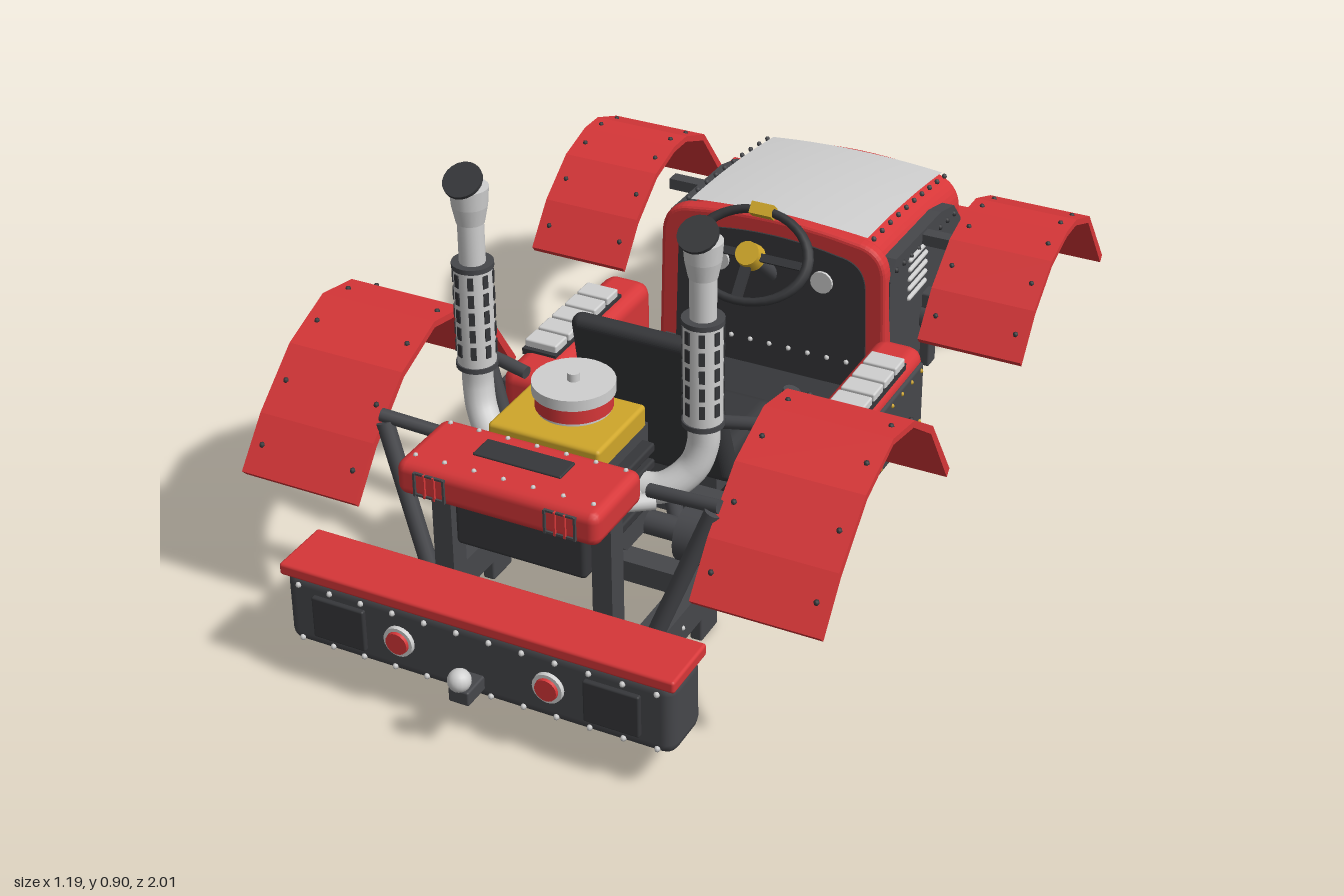
import * as THREE from 'three';
import { mergeGeometries } from 'three/addons/utils/BufferGeometryUtils.js';
import { RoundedBoxGeometry } from 'three/addons/geometries/RoundedBoxGeometry.js';

const paint = (name, color, side = THREE.FrontSide) => {
  const m = new THREE.MeshStandardMaterial({ color, side });
  m.name = name;
  return m;
};

export function createModel() {
  const red = paint('red paint', 0xd63638), dark = paint('dark steel', 0x46474b);
  const black = paint('black rubber', 0x36373a), silver = paint('silver', 0xd0d0d0, THREE.DoubleSide);
  const yellow = paint('yellow', 0xcfa62a);
  const model = new THREE.Group();
  model.name = 'tractor';
  const V = (x, y, z) => new THREE.Vector3(x, y, z);
  const add = (name, geo, mat, x = 0, y = 0, z = 0) => {
    const m = new THREE.Mesh(geo, mat);
    m.name = name;
    m.position.set(x, y, z);
    model.add(m);
    return m;
  };
  // box given by its limits, optionally rounded
  const box = (name, mat, x0, x1, y0, y1, z0, z1, r = 0) => {
    const s = [Math.abs(x1 - x0), y1 - y0, z1 - z0];
    return add(name, r ? new RoundedBoxGeometry(...s, 2, r) : new THREE.BoxGeometry(...s),
      mat, (x0 + x1) / 2, (y0 + y1) / 2, (z0 + z1) / 2);
  };
  // straight cylinder between two points
  const rod = (name, mat, a, b, r, r2 = r, n = 16) => {
    const d = b.clone().sub(a);
    const m = add(name, new THREE.CylinderGeometry(r2, r, d.length(), n), mat);
    m.position.copy(a).add(b).multiplyScalar(0.5);
    m.quaternion.setFromUnitVectors(V(0, 1, 0), d.normalize());
    return m;
  };
  // side outline in (z, y), extruded between two x values
  const plate = (name, mat, pts, xa, xb) => {
    const shape = new THREE.Shape(pts.map(p => new THREE.Vector2(...p)));
    const g = new THREE.ExtrudeGeometry(shape, { depth: Math.abs(xb - xa), bevelEnabled: false });
    g.rotateY(-Math.PI / 2);
    return add(name, g, mat, Math.max(xa, xb));
  };
  const bolts = (name, mat, pts, r = 0.006) => add(name,
    mergeGeometries(pts.map(p => new THREE.SphereGeometry(r, 6, 4).translate(...p))), mat);
  const row = (n, f) => Array.from({ length: n }, (_, i) => f(n > 1 ? i / (n - 1) : 0));
  const sides = [-1, 1];

  // ladder frame and floor
  for (const s of sides) {
    box('frameRail', dark, s * 0.195, s * 0.25, 0.07, 0.135, -0.77, 0.82);
    bolts('railBolts', silver, row(13, t => [s * 0.25, 0.102, 0.72 - t * 1.45]), 0.005);
    box('stand', dark, s * 0.214, s * 0.24, 0, 0.09, 0.43, 0.5, 0.005);
    rod('frameBrace', dark, V(s * 0.2, 0.1, 0.46), V(s * 0.03, 0.1, 0.21), 0.017);
  }
  for (const z of [0.21, 0.46, 0.75]) box('crossMember', dark, -0.2, 0.2, 0.08, 0.125, z - 0.025, z + 0.025);
  box('floor', black, -0.2, 0.2, 0.075, 0.11, -0.77, 0.12);

  // bumpers
  const bumper = (z0, z1, w, out) => {
    box('bumper', dark, -w + 0.005, w - 0.005, 0.085, 0.24, z0 + 0.006, z1 - 0.006, 0.025);
    box('bumperCap', red, -w, w, 0.232, 0.257, z0, z1, 0.006);
    const face = out > 0 ? z1 - 0.006 : z0 + 0.006;
    for (const s of sides) box('bumperPlate', black, s * 0.224, s * 0.335, 0.117, 0.205, face - 0.009, face + 0.009, 0.004);
    bolts('bumperBolts', silver, [0.1, 0.217].flatMap(y => row(12, t => [(t - 0.5) * 1.82 * w, y, face])));
  };
  bumper(0.807, 0.935, 0.402, 1);
  bumper(-0.945, -0.815, 0.387, -1);

  // tail lamps and tow ball
  for (const s of sides) {
    rod('lampRing', silver, V(s * 0.153, 0.162, 0.92), V(s * 0.153, 0.162, 0.937), 0.032, 0.03, 20);
    rod('tailLamp', red, V(s * 0.153, 0.162, 0.925), V(s * 0.153, 0.162, 0.943), 0.025, 0.022, 20);
  }
  box('towBracket', dark, -0.021, 0.021, 0.11, 0.14, 0.92, 0.985, 0.004);
  add('towBall', new THREE.SphereGeometry(0.022, 16, 12), silver, 0, 0.158, 0.978);
  // winch and hooks
  box('winchMount', dark, -0.09, 0.09, 0.1, 0.21, -0.965, -0.93, 0.006);
  rod('winchDrum', silver, V(-0.055, 0.165, -0.95), V(0.055, 0.165, -0.95), 0.033);
  const ring = add('winchHook', new THREE.TorusGeometry(0.017, 0.007, 8, 16), yellow, 0, 0.115, -0.985);
  ring.rotation.y = Math.PI / 2;
  for (const s of sides) for (const x of [0.115, 0.155])
    rod('towHook', yellow, V(s * x, 0.19, -0.935), V(s * x, 0.1, -0.983), 0.011, 0.009, 10);

  // faceted fenders
  const fender = (outer, c, x0, x1) => {
    const inner = outer.map(([z, y]) => [c + (z - c) * 0.96, y - 0.013]).reverse();
    for (const s of sides) {
      plate('fender', red, [...outer, ...inner], s * x0, s * x1);
      bolts('fenderBolts', black, outer.slice(1).flatMap(([z, y], i) => [x0 + 0.025, x1 - 0.025].map(x =>
        [s * x, (y + outer[i][1]) / 2, (z + outer[i][0]) / 2])));
    }
  };
  fender([[0.764, 0.3], [0.69, 0.39], [0.58, 0.485], [0.46, 0.533], [0.36, 0.515], [0.265, 0.45], [0.165, 0.3]], 0.465, 0.345, 0.597);
  fender([[-0.297, 0.278], [-0.366, 0.365], [-0.46, 0.435], [-0.55, 0.462], [-0.61, 0.462], [-0.7, 0.428], [-0.817, 0.278]], -0.557, 0.345, 0.57);

  // rear axle, struts and front axle
  rod('rearAxle', dark, V(-0.335, 0.22, 0.47), V(0.335, 0.22, 0.47), 0.024);
  add('differential', new THREE.SphereGeometry(0.075, 20, 14), dark, 0, 0.21, 0.47);
  for (const s of sides) {
    rod('rearHub', dark, V(s * 0.19, 0.22, 0.47), V(s * 0.265, 0.22, 0.47), 0.055, 0.055, 24);
    rod('hubCap', black, V(s * 0.26, 0.22, 0.47), V(s * 0.34, 0.22, 0.47), 0.033, 0.033, 20);
    rod('fenderStrut', dark, V(s * 0.23, 0.12, 0.345), V(s * 0.34, 0.49, 0.325), 0.017);
    rod('fenderStrut', dark, V(s * 0.23, 0.12, 0.69), V(s * 0.34, 0.42, 0.655), 0.017);
    for (const z of [0.35, 0.65]) rod('fenderBrace', dark, V(s * 0.2, 0.41, z + (z > 0.5 ? -0.02 : 0.02)), V(s * 0.35, 0.43, z), 0.013);
    rod('frontAxle', dark, V(s * 0.24, 0.19, -0.55), V(s * 0.335, 0.19, -0.55), 0.034, 0.03);
    box('frontHubBracket', dark, s * 0.255, s * 0.285, 0.07, 0.25, -0.57, -0.53, 0.005);
    box('frontHubBar', dark, s * 0.25, s * 0.34, 0.375, 0.4, -0.545, -0.515);
    box('frontHubPlate', black, s * 0.325, s * 0.34, 0.15, 0.23, -0.575, -0.525, 0.005);
  }

  // hood: crowned arch that drops toward the nose
  const top = z => 0.46 - 0.04 * ((-0.32 - z) / 0.48) ** 2;
  const arch = (w, h, r) => {
    const p = new THREE.Shape();
    p.moveTo(-w, 0.1);
    p.lineTo(w, 0.1);
    p.lineTo(w - 0.008, h - r);
    p.quadraticCurveTo(w - 0.012, h - 0.012, w - r, h - 0.008);
    p.quadraticCurveTo(0, h + 0.022, -w + r, h - 0.008);
    p.quadraticCurveTo(-w + 0.012, h - 0.012, -w + 0.008, h - r);
    p.closePath();
    return p;
  };
  const hoodPart = (name, mat, w, h, z0, z1, bevel) => {
    const g = new THREE.ExtrudeGeometry(arch(w - bevel, h - bevel, 0.07), { depth: z1 - z0 - 2 * bevel, steps: 8, curveSegments: 10,
      bevelEnabled: bevel > 0, bevelSize: bevel, bevelThickness: bevel, bevelSegments: 3 });
    g.translate(0, 0, z0 + bevel);
    const p = g.attributes.position;
    for (let i = 0; i < p.count; i++)
      p.setY(i, 0.1 + (p.getY(i) - 0.1) * (top(p.getZ(i)) - 0.1) / 0.36);
    g.computeVertexNormals();
    return add(name, g, mat);
  };
  hoodPart('hood', red, 0.25, 0.455, -0.805, -0.33, 0.02);
  hoodPart('firewallRim', red, 0.268, 0.463, -0.355, -0.318, 0.01);
  hoodPart('dashboard', black, 0.225, 0.425, -0.33, -0.314, 0);
  // silver roof panel following the crown
  const roof = new THREE.PlaneGeometry(0.41, 0.42, 12, 10).rotateX(-Math.PI / 2).translate(0, 0, -0.56);
  const rp = roof.attributes.position;
  for (let i = 0; i < rp.count; i++) rp.setY(i, top(rp.getZ(i)) + 0.007 - 0.26 * rp.getX(i) ** 2);
  roof.computeVertexNormals();
  add('hoodPanel', roof, silver);
  for (const s of sides) {
    plate('hoodSide', dark, [[-0.34, 0.1], [-0.34, 0.37], [-0.37, 0.41], [-0.62, 0.405], [-0.7, 0.385], [-0.745, 0.335], [-0.755, 0.28], [-0.755, 0.1]],
      s * 0.235, s * 0.263);
    bolts('hoodSideBolts', black, row(9, t => [s * 0.263, 0.385 - t * 0.02, -0.37 - t * 0.33]), 0.007);
    bolts('hoodRimBolts', dark, row(10, t => [s * 0.215, top(-0.36 - t * 0.4) - 0.008, -0.36 - t * 0.4]), 0.006);
    for (let i = 0; i < 5; i++) {
      const l = add('louver', new THREE.CapsuleGeometry(0.006, 0.09, 4, 8), silver, s * 0.264, 0.28 + i * 0.023, -0.49);
      l.rotation.x = Math.PI / 2;
    }
    // headlights
    rod('headlightRim', dark, V(s * 0.135, 0.315, -0.795), V(s * 0.135, 0.315, -0.825), 0.053, 0.05, 24);
    rod('headlight', silver, V(s * 0.135, 0.315, -0.815), V(s * 0.135, 0.315, -0.832), 0.044, 0.034, 24);
  }
  for (let i = -2; i <= 2; i++) box('grilleBar', silver, i * 0.025 - 0.007, i * 0.025 + 0.007, 0.29, 0.35, -0.818, -0.8, 0.004);
  bolts('dashBolts', silver, row(9, t => [(t - 0.5) * 0.36, 0.17, -0.314]), 0.006);
  for (const x of [-0.12, 0.12]) rod('gauge', silver, V(x, 0.35, -0.32), V(x, 0.35, -0.308), 0.025);

  // steering wheel, oval and tilted
  const wheel = new THREE.Group();
  wheel.name = 'steeringWheel';
  wheel.position.set(0, 0.435, -0.21);
  wheel.rotation.x = -0.72;
  const part = (name, geo, mat) => {
    const m = new THREE.Mesh(geo, mat);
    m.name = name;
    wheel.add(m);
  };
  part('wheelRim', new THREE.TorusGeometry(0.13, 0.012, 10, 36).scale(1, 0.76, 1), black);
  for (const a of [0, Math.PI, -Math.PI / 2])
    part('wheelSpoke', new THREE.BoxGeometry(0.125, 0.022, 0.01).translate(0.065, 0, 0).rotateZ(a).scale(1, 0.76, 1), black);
  part('wheelHub', new THREE.CylinderGeometry(0.026, 0.03, 0.035, 16).rotateX(Math.PI / 2), yellow);
  part('wheelMark', new THREE.BoxGeometry(0.05, 0.026, 0.027).translate(0, 0.098, 0), yellow);
  model.add(wheel);
  rod('steeringColumn', dark, V(0, 0.435, -0.21), V(0, 0.33, -0.33), 0.016);

  // seat: cushion and curved leaning back
  box('seatBase', dark, -0.11, 0.11, 0.1, 0.17, 0, 0.17);
  box('seatCushion', black, -0.155, 0.155, 0.165, 0.235, -0.025, 0.2, 0.03);
  const back = new RoundedBoxGeometry(0.33, 0.36, 0.05, 6, 0.024);
  const bp = back.attributes.position;
  for (let i = 0; i < bp.count; i++) {
    const x = bp.getX(i), t = (bp.getY(i) + 0.18) / 0.36;
    bp.setX(i, x * (1 - 0.12 * t));
    bp.setZ(i, bp.getZ(i) + 0.1 * t - Math.abs(x) * 0.12);
  }
  back.computeVertexNormals();
  add('seatBack', back, black, 0, 0.335, 0.2);

  // side boxes with steps
  for (const s of sides) {
    box('sideBox', red, s * 0.262, s * 0.37, 0.085, 0.278, -0.282, 0.192, 0.03);
    box('sideBoxPanel', dark, s * 0.36, s * 0.376, 0.1, 0.25, -0.262, 0.18, 0.007);
    bolts('sideBoxBolts', yellow, [0.115, 0.237].flatMap(y => row(9, t => [s * 0.376, y, 0.165 - t * 0.41])), 0.005);
    box('stepBase', black, s * 0.288, s * 0.366, 0.27, 0.284, -0.185, 0.105);
    for (let i = 0; i < 5; i++) box('stepTread', silver, s * 0.292, s * 0.366, 0.28, 0.3, -0.178 + i * 0.056, -0.13 + i * 0.056, 0.004);
  }

  // engine
  plate('engineBlock', dark, [[0.65, 0.44], [0.47, 0.44], [0.47, 0.21], [0.56, 0.21], [0.64, 0.28]], -0.115, 0.115);
  box('gearbox', dark, -0.04, 0.04, 0.3, 0.4, 0.41, 0.5, 0.015);
  box('engineTop', yellow, -0.115, 0.115, 0.432, 0.482, 0.475, 0.66, 0.008);
  const disc = (name, mat, r, y0, y1) => rod(name, mat, V(0, y0, 0.54), V(0, y1, 0.54), r, r, 32);
  disc('airFilterBase', silver, 0.07, 0.478, 0.49);
  disc('airFilter', red, 0.073, 0.488, 0.52);
  disc('airFilterLid', silver, 0.078, 0.518, 0.54);
  disc('airFilterKnob', silver, 0.012, 0.54, 0.556);
  box('radiator', black, -0.135, 0.135, 0.27, 0.42, 0.68, 0.755, 0.01);
  box('engineCover', red, -0.205, 0.205, 0.405, 0.475, 0.66, 0.835, 0.02);
  box('coverVent', black, -0.09, 0.09, 0.47, 0.479, 0.7, 0.755, 0.003);
  bolts('coverBolts', silver, [0.68, 0.8].flatMap(z => row(7, t => [(t - 0.5) * 0.36, 0.475, z])), 0.005);
  for (const s of sides) {
    box('coverPost', dark, s * 0.145, s * 0.185, 0.12, 0.41, 0.705, 0.75);
    box('coverFoot', dark, s * 0.145, s * 0.22, 0.12, 0.15, 0.7, 0.755);
    for (let i = 0; i < 4; i++) box('coverRib', i % 3 ? red : dark, s * (0.1 + i * 0.02), s * (0.104 + i * 0.02), 0.416, 0.464, 0.83, 0.84);
    for (const y of [0.416, 0.46]) box('coverRib', dark, s * 0.1, s * 0.164, y, y + 0.004, 0.83, 0.838);
    for (let i = 0; i < 4; i++) box('engineFin', black, s * 0.11, s * 0.14, 0.29 + i * 0.035, 0.31 + i * 0.035, 0.49, 0.65, 0.005);
    // exhaust: headers, elbow, perforated shield and flap
    const X = s * 0.237, Z = 0.487;
    const elbow = new THREE.CatmullRomCurve3([V(s * 0.11, 0.345, 0.54), V(s * 0.175, 0.35, 0.53), V(s * 0.222, 0.39, 0.5), V(X, 0.44, Z), V(X, 0.5, Z)]);
    add('exhaustElbow', new THREE.TubeGeometry(elbow, 24, 0.03, 16), silver);
    for (const z of [0.575, 0.62]) rod('exhaustHeader', silver, V(s * 0.11, 0.345, z), V(s * 0.18, 0.345, z - 0.05), 0.016);
    rod('exhaustShield', silver, V(X, 0.485, Z), V(X, 0.7, Z), 0.037, 0.037, 24);
    for (const y of [0.487, 0.698]) rod('exhaustBand', dark, V(X, y - 0.005, Z), V(X, y + 0.005, Z), 0.04, 0.04, 24);
    for (let i = 0; i < 8; i++) for (let j = 0; j < 5; j++) {
      const a = (i + 0.5) * Math.PI / 4;
      const slot = add('shieldSlot', new THREE.BoxGeometry(0.011, 0.026, 0.006), black,
        X + Math.sin(a) * 0.036, 0.525 + j * 0.037, Z + Math.cos(a) * 0.036);
      slot.rotation.y = a;
    }
    rod('exhaustPipe', silver, V(X, 0.7, Z), V(X, 0.8, Z), 0.025, 0.025, 20);
    rod('exhaustNeck', silver, V(X, 0.785, Z), V(X, 0.82, Z), 0.027, 0.034, 20);
    rod('exhaustTip', silver, V(X, 0.82, Z), V(X, 0.857, Z), 0.034, 0.037, 20);
    rod('exhaustFlap', black, V(X, 0.874, Z + 0.018), V(X, 0.88, Z + 0.022), 0.038, 0.038, 20).rotation.set(0.6, 0, 0);
  }
  return model;
}
